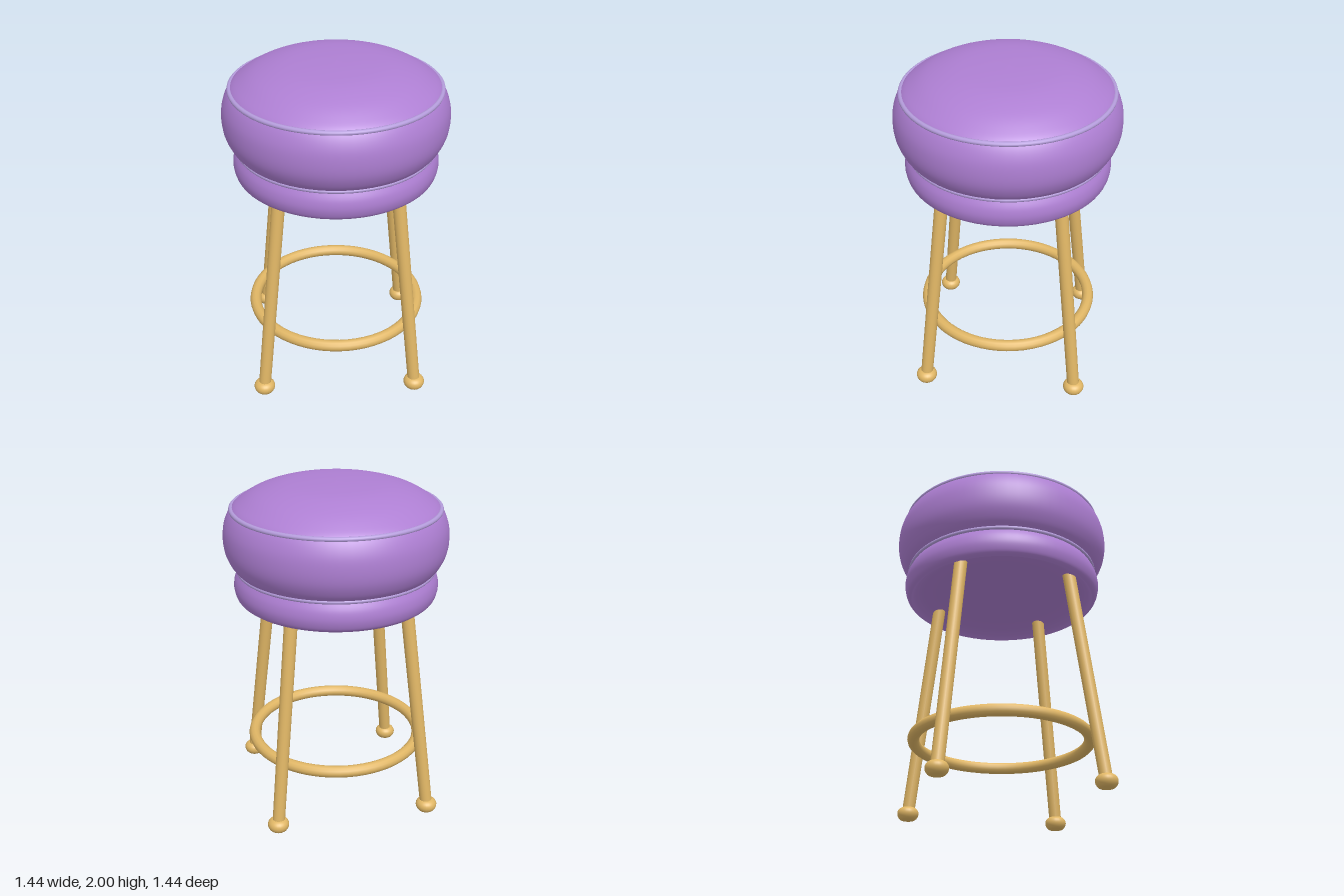
import * as THREE from 'three';

const purple = new THREE.MeshStandardMaterial({ color: 0xae7fd3 });
purple.name = 'purple upholstery';
const lavender = new THREE.MeshStandardMaterial({ color: 0xb49cdb });
lavender.name = 'lavender piping';
const wood = new THREE.MeshStandardMaterial({ color: 0xe0b665 });
wood.name = 'golden wood';

const SEGMENTS = 64;

function addMesh(parent, name, geometry, material) {
  const mesh = new THREE.Mesh(geometry, material);
  mesh.name = name;
  parent.add(mesh);
  return mesh;
}

// Smooth lathe through a few [radius, height] points, listed from bottom to top
function turned(points, steps, segments) {
  const curve = new THREE.SplineCurve(points.map(([r, y]) => new THREE.Vector2(r, y)));
  const profile = curve.getPoints(steps);
  profile.forEach((p) => { p.x = Math.max(p.x, 0); });
  return new THREE.LatheGeometry(profile, segments);
}

function addRing(parent, name, radius, tube, y, material) {
  const ring = addMesh(parent, name, new THREE.TorusGeometry(radius, tube, 12, SEGMENTS), material);
  ring.rotation.x = Math.PI / 2;
  ring.position.y = y;
}

export function createModel() {
  const stool = new THREE.Group();
  stool.name = 'stool';

  // Padded seat: domed cushion over a narrower band
  const seat = new THREE.Group();
  seat.name = 'seat';
  stool.add(seat);
  addMesh(seat, 'cushion', turned([
    [0.575, 1.485], [0.615, 1.53], [0.647, 1.6], [0.657, 1.68], [0.647, 1.765],
    [0.61, 1.845], [0.55, 1.895], [0.455, 1.945], [0.32, 1.982], [0.16, 1.996], [0, 2],
  ], 50, SEGMENTS), purple);
  addMesh(seat, 'seatBand', turned([
    [0.565, 1.305], [0.59, 1.328], [0.604, 1.38], [0.597, 1.435], [0.573, 1.485],
  ], 20, SEGMENTS), purple);

  // Shallow hollow under the seat
  addMesh(seat, 'underside', turned([
    [0, 1.372], [0.3, 1.368], [0.47, 1.353], [0.535, 1.33], [0.565, 1.305],
  ], 20, SEGMENTS), purple);

  // Piping along the two seams
  addRing(seat, 'upperPiping', 0.604, 0.014, 1.848, lavender);
  addRing(seat, 'lowerPiping', 0.576, 0.013, 1.487, lavender);

  // Four splayed legs with rounded feet
  const bottom = new THREE.Vector3(0.657, 0.04, 0);
  const top = new THREE.Vector3(0.47, 1.38, 0);
  const legGeometry = new THREE.CylinderGeometry(0.039, 0.037, bottom.distanceTo(top), 20);
  const footGeometry = turned([
    [0, 0], [0.04, 0.003], [0.058, 0.02], [0.064, 0.042], [0.057, 0.063], [0.036, 0.078], [0, 0.081],
  ], 24, 24);
  for (let i = 0; i < 4; i++) {
    const assembly = new THREE.Group();
    assembly.name = ['leftLeg', 'backLeg', 'rightLeg', 'frontLeg'][i];
    assembly.rotation.y = (i * Math.PI) / 2;
    const leg = addMesh(assembly, 'leg', legGeometry, wood);
    leg.position.addVectors(bottom, top).multiplyScalar(0.5);
    leg.rotation.z = Math.atan2(bottom.x - top.x, top.y - bottom.y);
    addMesh(assembly, 'foot', footGeometry, wood).position.x = bottom.x;
    stool.add(assembly);
  }

  // Footrest hoop inside the legs
  addRing(stool, 'footrest', 0.516, 0.035, 0.382, wood);

  return stool;
}
